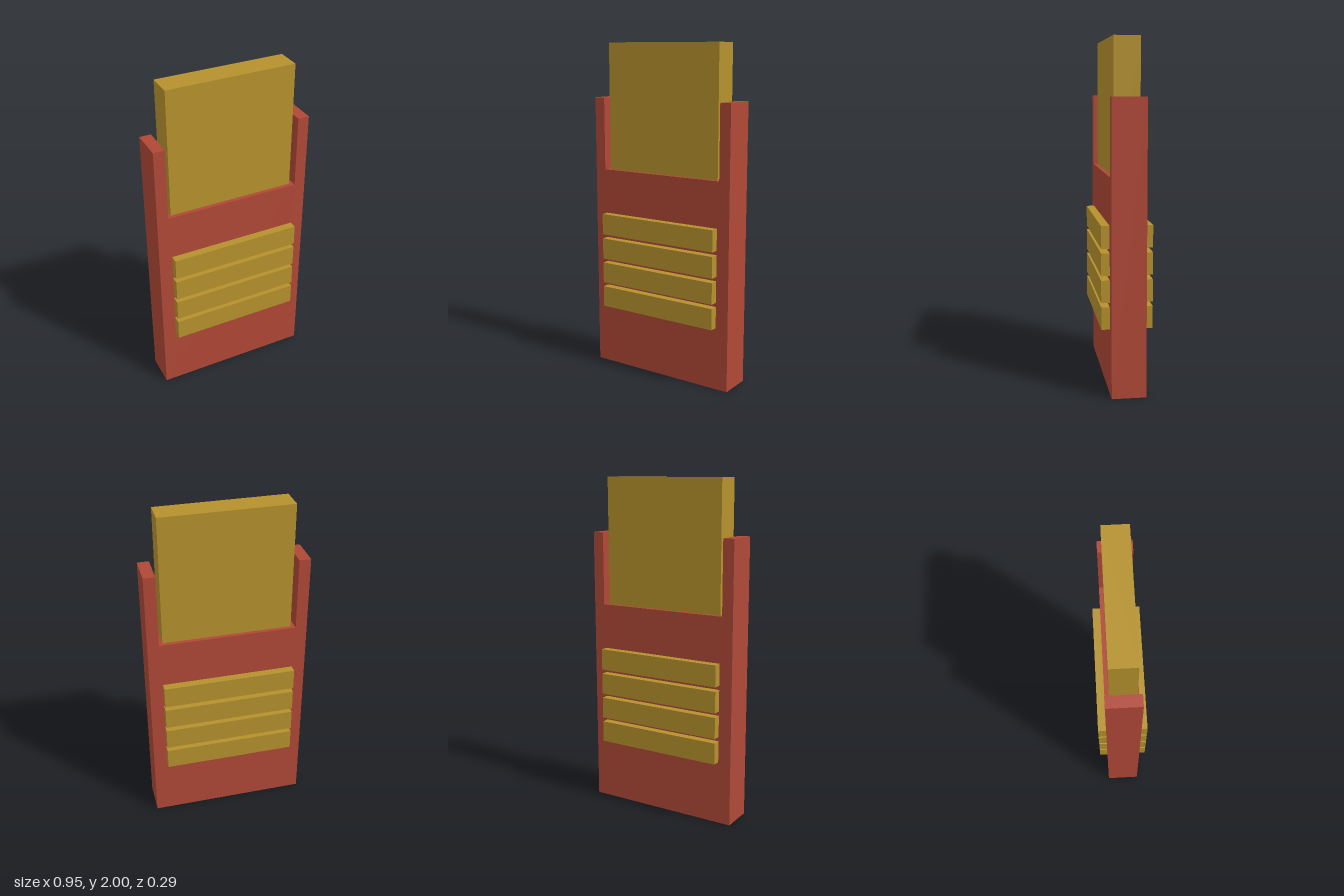
import * as THREE from 'three';

const red = new THREE.MeshStandardMaterial({ name: 'brick red', color: 0xb04837 });
const gold = new THREE.MeshStandardMaterial({ name: 'dark gold', color: 0xb5912d });

export function createModel() {
  const model = new THREE.Group();
  model.name = 'model';
  const add = (name, geometry, material, x, y, z) => {
    const mesh = new THREE.Mesh(geometry, material);
    mesh.name = name;
    mesh.position.set(x, y, z);
    model.add(mesh);
  };

  // U-shaped casing: a slab with a notch between two upright arms
  const halfWidth = 0.473, notch = 0.405, floor = 1.24, armTop = 1.675, depth = 0.196;
  const outline = new THREE.Shape([
    [-halfWidth, 0], [halfWidth, 0], [halfWidth, armTop], [notch, armTop],
    [notch, floor], [-notch, floor], [-notch, armTop], [-halfWidth, armTop],
  ].map(([x, y]) => new THREE.Vector2(x, y)));
  const casing = new THREE.ExtrudeGeometry(outline, { depth, bevelEnabled: false });
  add('casing', casing, red, 0, 0, -depth / 2);

  // Block standing in the notch
  add('topBlock', new THREE.BoxGeometry(0.762, 2 - floor, 0.148), gold, 0, (2 + floor) / 2, 0);

  // Four raised grip bars on the front and on the back
  const bar = new THREE.BoxGeometry(0.788, 0.128, 0.048);
  for (const [side, sign] of [['front', 1], ['back', -1]]) {
    for (let i = 0; i < 4; i++) {
      add(`${side}GripBar${i + 1}`, bar, gold, 0, 0.443 + i * 0.154, sign * (depth / 2 + 0.024));
    }
  }
  return model;
}
